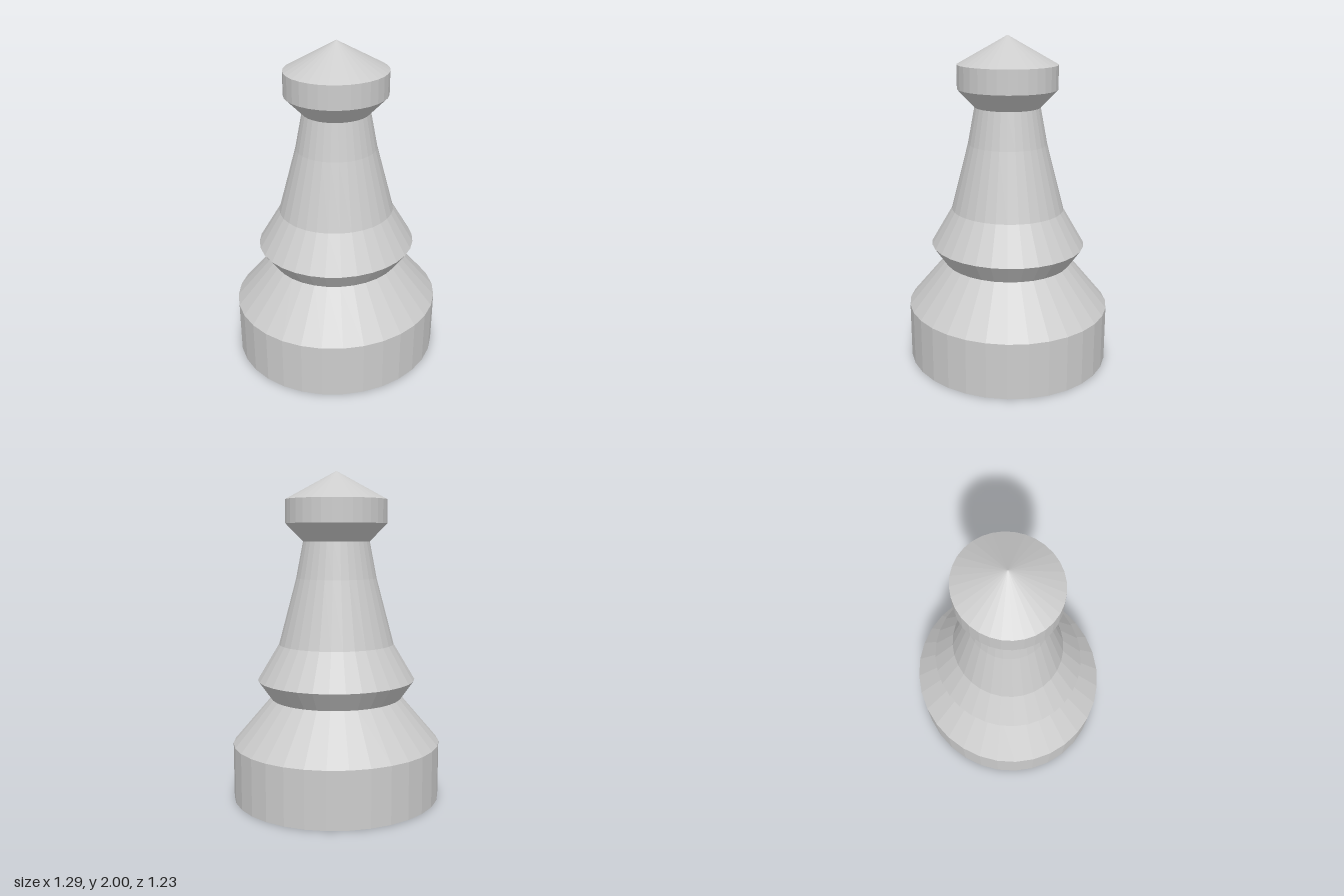
import * as THREE from 'three';

const SEGMENTS = 32;
const DEPTH = 0.957; // the turning is slightly narrower front to back

export function createModel() {
  const group = new THREE.Group();
  group.name = 'gamePiece';
  const grey = new THREE.MeshStandardMaterial({ color: 0xcccccc, flatShading: true });
  grey.name = 'light grey';

  // Turned section from [radius, height] points, listed bottom to top
  const turned = (name, profile) => {
    const points = profile.map(([r, y]) => new THREE.Vector2(r, y));
    const geometry = new THREE.LatheGeometry(points, SEGMENTS);
    geometry.scale(1, 1, DEPTH);
    const mesh = new THREE.Mesh(geometry, grey);
    mesh.name = name;
    group.add(mesh);
  };

  // Drum base with closed underside and sloping shoulder
  turned('base', [[0, 0], [0.643, 0], [0.643, 0.345], [0.405, 0.622]]);
  // Flared collar above the base
  turned('collar', [[0.405, 0.622], [0.487, 0.737], [0.355, 0.957]]);
  // Tapering stem
  turned('stem', [[0.355, 0.957], [0.247, 1.36], [0.204, 1.582]]);
  // Head with flared underside and conical cap
  turned('head', [[0.204, 1.582], [0.31, 1.69], [0.31, 1.832], [0, 2]]);

  return group;
}
